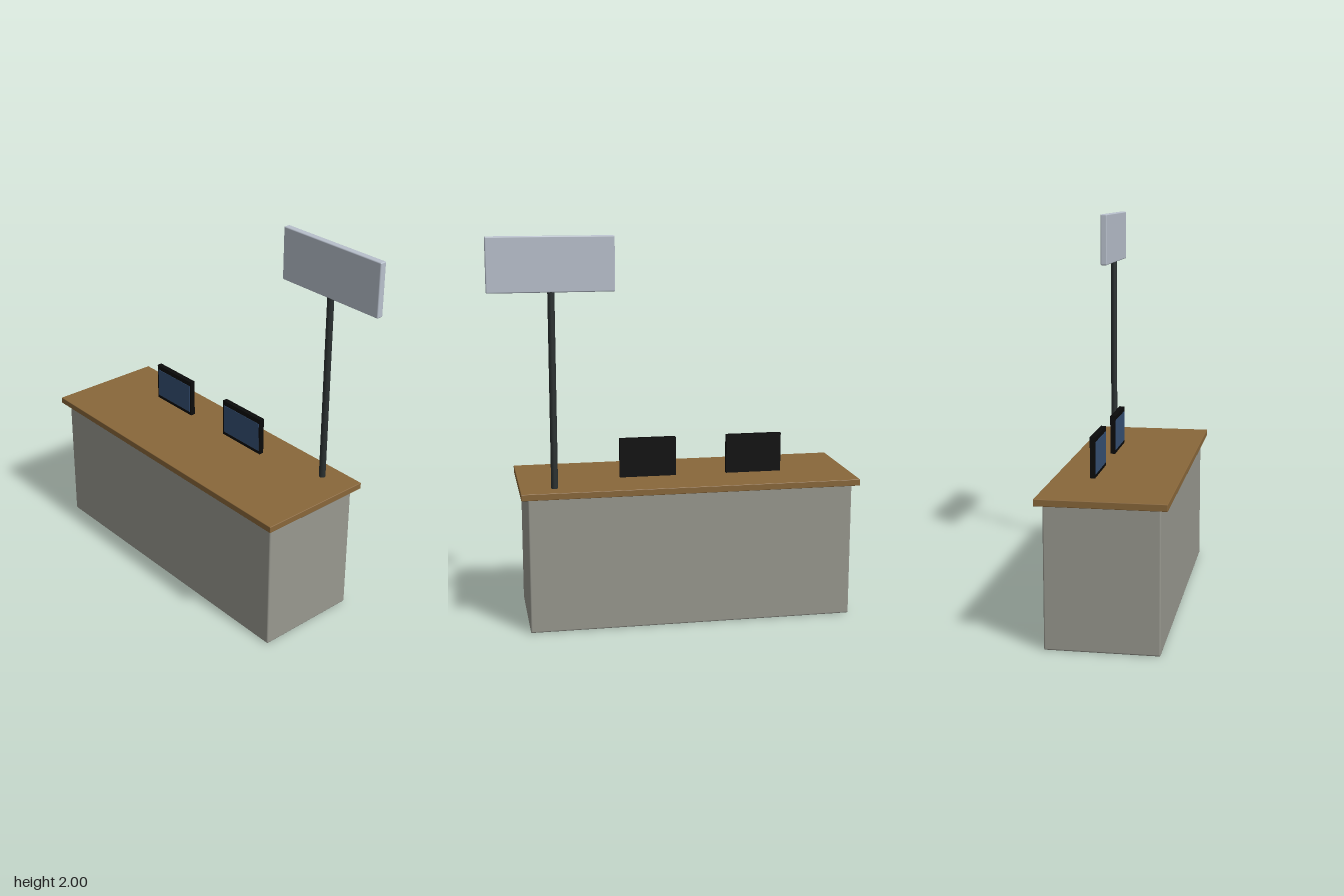
import * as THREE from 'three';
import { RoundedBoxGeometry } from 'three/addons/geometries/RoundedBoxGeometry.js';

const flat = (name, color) => {
  const m = new THREE.MeshStandardMaterial({ color });
  m.name = name;
  return m;
};

export function createModel() {
  const grey = flat('cabinetGrey', 0x98988f);
  const wood = flat('wood', 0x89673a);
  const dark = flat('poleDark', 0x2a3030);
  const pale = flat('signPale', 0xb8c0cc);
  const black = flat('screenBlack', 0x0b0b0b);
  const blue = flat('screenBlue', 0x354f73);

  const model = new THREE.Group();
  model.name = 'serviceCounter';

  // Adds a box given its extents; a bevel above zero softens the edges
  const box = (parent, name, mat, [x0, x1], [y0, y1], [z0, z1], bevel = 0) => {
    const size = [x1 - x0, y1 - y0, z1 - z0];
    const geo = bevel ? new RoundedBoxGeometry(...size, 2, bevel) : new THREE.BoxGeometry(...size);
    const mesh = new THREE.Mesh(geo, mat);
    mesh.name = name;
    mesh.position.set((x0 + x1) / 2, (y0 + y1) / 2, (z0 + z1) / 2);
    parent.add(mesh);
    return mesh;
  };

  // Counter
  box(model, 'cabinet', grey, [-0.912, 0.77], [0, 0.706], [-0.278, 0.278], 0.008);
  box(model, 'countertop', wood, [-0.945, 0.805], [0.706, 0.74], [-0.313, 0.313], 0.003);

  // Two monitors, hovering just above the countertop
  [-0.422, 0.138].forEach((x, i) => {
    const monitor = new THREE.Group();
    monitor.name = i ? 'leftMonitor' : 'rightMonitor';
    monitor.position.x = x;
    box(monitor, 'monitorCase', black, [-0.146, 0.146], [0.757, 0.96], [-0.119, -0.093]);
    box(monitor, 'display', blue, [-0.136, 0.136], [0.775, 0.934], [-0.094, -0.091]);
    model.add(monitor);
  });

  // Sign on its pole
  const pole = new THREE.Mesh(new THREE.CylinderGeometry(0.0175, 0.0175, 0.99, 12), dark);
  pole.name = 'signPole';
  pole.position.set(0.63, 1.235, -0.21);
  model.add(pole);
  box(model, 'signPanel', pale, [0.315, 0.945], [1.727, 2], [-0.228, -0.193], 0.006);

  return model;
}
